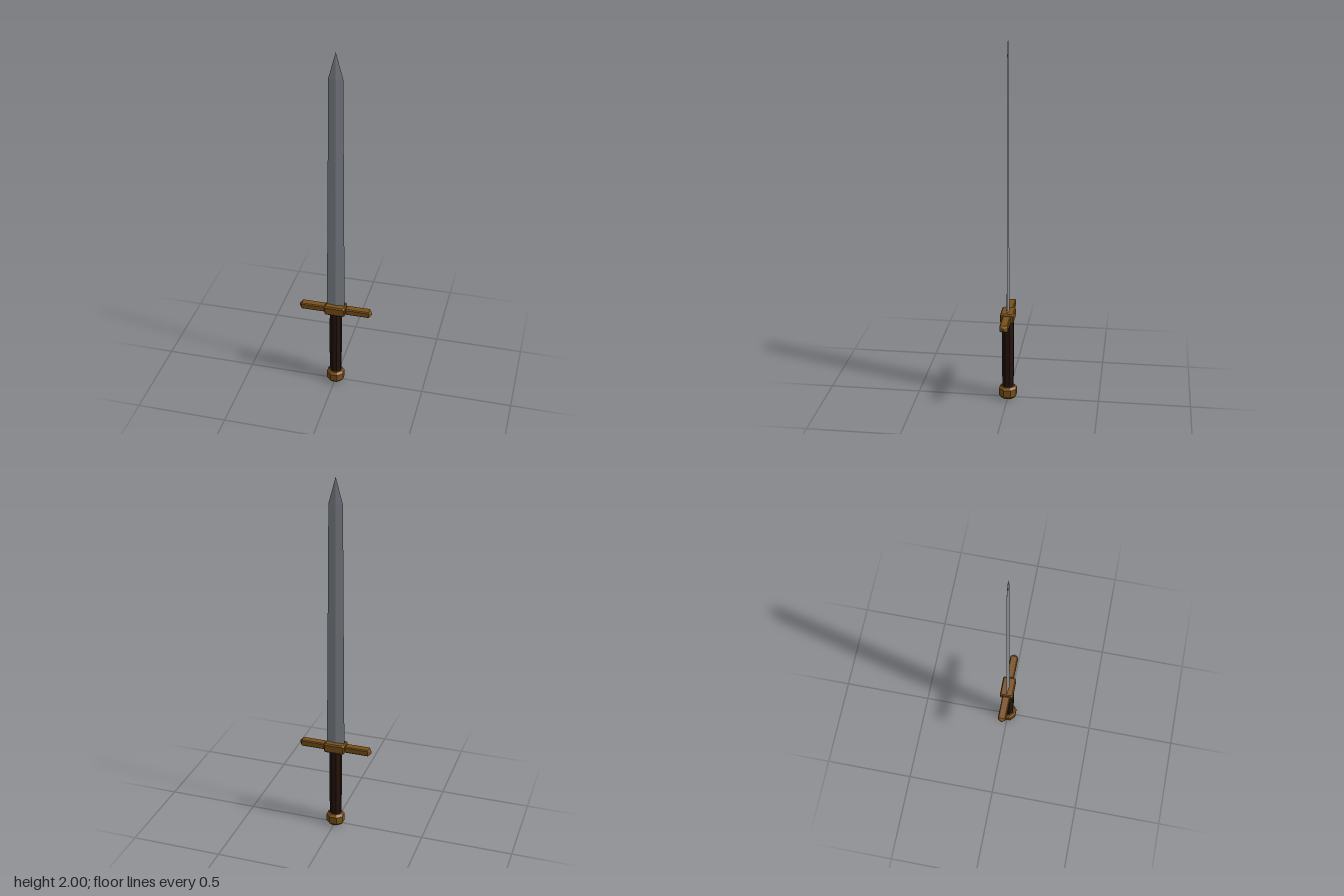
import * as THREE from 'three';

const mat = (color) => new THREE.MeshStandardMaterial({ color, flatShading: true, side: THREE.DoubleSide });

// Rectangle outline with chamfered corners, half sizes a (x) and b (z)
function chamfered(a, b, c) {
  return [[a, -b + c], [a, b - c], [a - c, b], [c - a, b], [-a, b - c], [-a, c - b], [c - a, -b], [a - c, -b]].reverse();
}

// Skin a stack of outlines [y, points] and cap both ends
function loft(sections) {
  const n = sections[0][1].length, pos = [], idx = [];
  for (const [y, ring] of sections) for (const [x, z] of ring) pos.push(x, y, z);
  for (let s = 0; s < sections.length - 1; s++) {
    for (let i = 0; i < n; i++) {
      const a = s * n + i, b = s * n + (i + 1) % n;
      idx.push(a, b, b + n, a, b + n, a + n);
    }
  }
  const top = (sections.length - 1) * n;
  for (let i = 1; i < n - 1; i++) idx.push(0, i + 1, i, top, top + i, top + i + 1);
  const g = new THREE.BufferGeometry();
  g.setAttribute('position', new THREE.Float32BufferAttribute(pos, 3));
  g.setIndex(idx);
  g.computeVertexNormals();
  return g;
}

// Eight-sided turned part with flats facing the front
function octagonal(profile) {
  const k = 1 / Math.cos(Math.PI / 8);
  const points = profile.map(([r, y]) => new THREE.Vector2(r * k, y));
  return new THREE.LatheGeometry(points, 8).rotateY(Math.PI / 8);
}

export function createModel() {
  const model = new THREE.Group();
  const steel = mat(0x858b93), bronze = mat(0x7a5018), leather = mat(0x24130c);
  const add = (name, geometry, material) => {
    const mesh = new THREE.Mesh(geometry, material);
    mesh.name = name;
    model.add(mesh);
    return mesh;
  };

  // Blade: tapering diamond section drawn to a point
  const diamond = (w, t) => [[w, 0], [0, -t], [-w, 0], [0, t]];
  add('blade', loft([
    [0.49, diamond(0.05, 0.007)],
    [1.86, diamond(0.038, 0.0055)],
    [2, diamond(0, 0)],
  ]), steel);

  // Pommel and grip
  add('pommel', octagonal([[0, 0], [0.036, 0], [0.047, 0.014], [0.047, 0.055], [0.036, 0.068], [0, 0.068]]), bronze);
  add('grip', octagonal([[0, 0.06], [0.029, 0.06], [0.032, 0.2], [0.032, 0.38], [0.03, 0.47], [0, 0.47]]), leather);

  // Guard centre block with bevelled edges
  const small = chamfered(0.051, 0.031, 0.004), full = chamfered(0.057, 0.037, 0.005);
  add('guardBlock', loft([[0.46, small], [0.467, full], [0.506, full], [0.513, small]]), bronze);

  // Guard arms, mirrored, with pointed ends
  for (const side of [1, -1]) {
    const arm = loft([
      [0.04, chamfered(0.014, 0.018, 0.004)],
      [0.057, chamfered(0.014, 0.018, 0.004)],
      [0.062, chamfered(0.018, 0.022, 0.005)],
      [0.189, chamfered(0.018, 0.022, 0.005)],
      [0.204, chamfered(0.006, 0.001, 0.0005)],
    ]).rotateZ(-side * Math.PI / 2);
    add(side > 0 ? 'leftGuardArm' : 'rightGuardArm', arm, bronze).position.y = 0.486;
  }
  return model;
}
